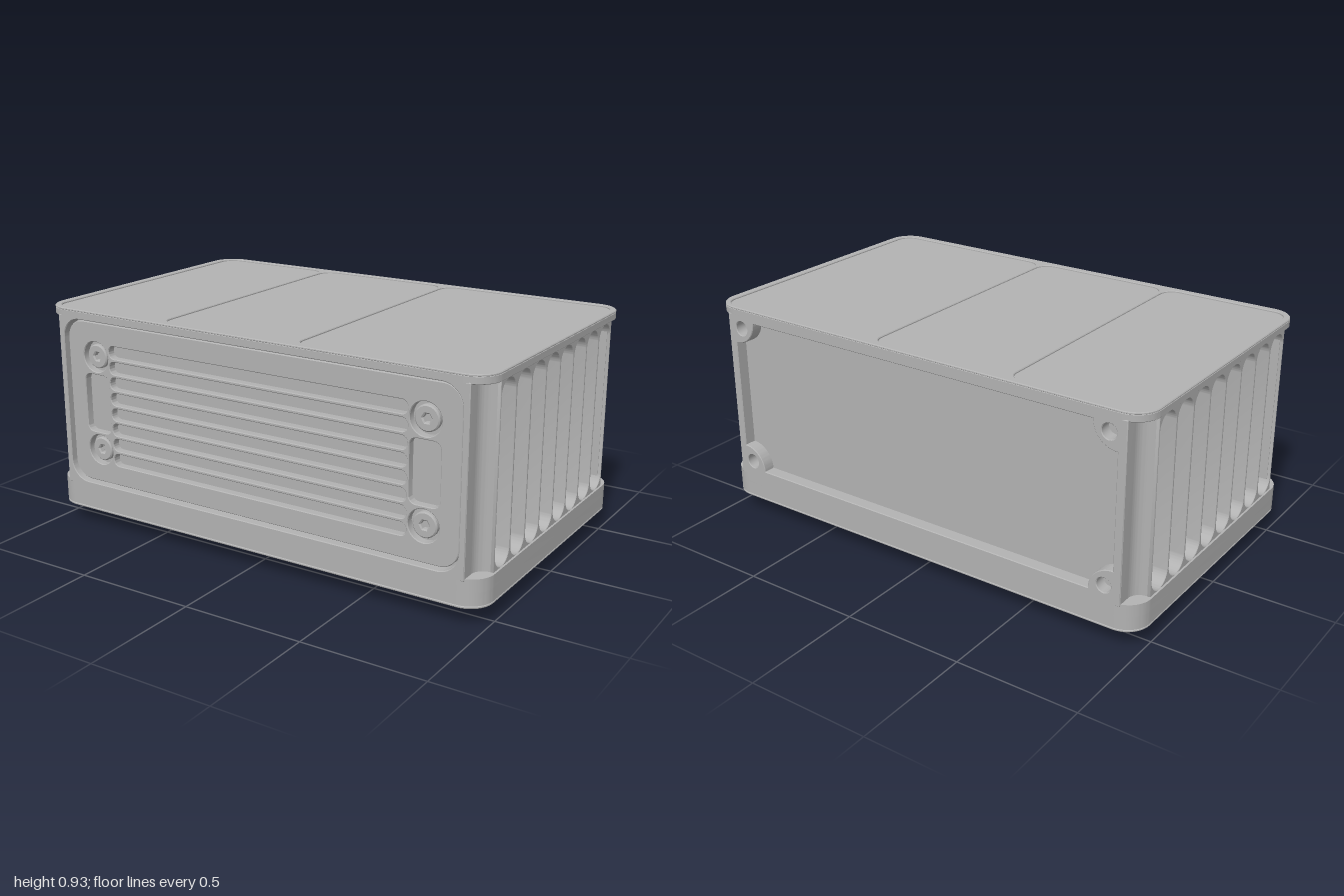
import * as THREE from 'three';
import { toCreasedNormals } from 'three/addons/utils/BufferGeometryUtils.js';

const metal = new THREE.MeshStandardMaterial({ color: 0xb2b2b2 });
metal.name = 'grey metal';

// Rounded rectangle from corner to corner
function roundRect(x0, y0, x1, y1, r) {
  const s = new THREE.Shape();
  s.absarc(x1 - r, y1 - r, r, 0, Math.PI / 2);
  s.absarc(x0 + r, y1 - r, r, Math.PI / 2, Math.PI);
  s.absarc(x0 + r, y0 + r, r, Math.PI, Math.PI * 1.5);
  s.absarc(x1 - r, y0 + r, r, Math.PI * 1.5, Math.PI * 2);
  s.closePath();
  return s;
}

function circle(x, y, r) {
  return new THREE.Shape().absarc(x, y, r, 0, Math.PI * 2);
}

function hexagon(x, y, r) {
  const p = [];
  for (let i = 0; i < 6; i++) {
    p.push(new THREE.Vector2(x + r * Math.cos(i * Math.PI / 3), y + r * Math.sin(i * Math.PI / 3)));
  }
  return new THREE.Shape(p);
}

// Plate with chamfered edges, filling exactly 0..depth
function slab(shape, holes, depth, bevel = 0) {
  shape.holes = holes;
  const g = new THREE.ExtrudeGeometry(shape, {
    depth: depth - 2 * bevel, bevelEnabled: bevel > 0, bevelThickness: bevel,
    bevelSize: bevel, bevelOffset: -bevel, bevelSegments: 1, curveSegments: 10,
  });
  g.translate(0, 0, bevel);
  return toCreasedNormals(g, 0.5);
}

// Horizontal plate: shape is drawn in x and z
function layer(shape, holes, y0, y1, bevel = 0) {
  return slab(shape, holes, y1 - y0, bevel).rotateX(Math.PI / 2).translate(0, y1, 0);
}

export function createModel() {
  const model = new THREE.Group();
  const add = (name, geometry) => {
    const mesh = new THREE.Mesh(geometry, metal);
    mesh.name = name;
    model.add(mesh);
    return mesh;
  };
  const footprint = () => roundRect(-1, -0.615, 1, 0.615, 0.1);
  const corners = [[1, 1], [1, -1], [-1, 1], [-1, -1]];

  // Solid middle of the housing
  add('core', new THREE.BoxGeometry(1.86, 0.76, 1.13).translate(0, 0.54, 0));

  // Base: feet recesses, edge grooves and a shallow pocket on the underside
  const baseCuts = () => [
    ...corners.map(([sx, sz]) => circle(sx * 0.9, sz * 0.52, 0.065)),
    ...[-1, 1].map((s) => roundRect(-0.78, s * 0.545 - 0.018, 0.78, s * 0.545 + 0.018, 0.017)),
  ];
  const pocket = new THREE.Shape([
    [-0.93, 0.43], [-0.75, 0.43], [-0.71, 0.36], [0.86, 0.36], [0.86, -0.42], [-0.93, -0.42],
  ].map(([x, z]) => new THREE.Vector2(x, z)));
  add('baseUnderside', layer(footprint(), [...baseCuts(), pocket], 0.075, 0.087, 0.004));

  // Vent slots, screw holes and a small port inside the pocket
  const vents = [];
  for (let i = 0; i < 13; i++) {
    const x = 0.76 - i * 0.09;
    vents.push(roundRect(x - 0.023, -0.29, x + 0.023, 0.31, 0.022));
  }
  vents.push(roundRect(-0.7, -0.25, -0.63, -0.11, 0.03), circle(-0.54, 0.09, 0.025));
  for (const x of [0.62, 0.2, -0.2]) {
    vents.push(circle(x, -0.345, 0.018), circle(x, 0.337, 0.016));
  }
  add('ventedFloor', layer(footprint(), [...baseCuts(), ...vents], 0.087, 0.14));
  add('baseFlange', layer(footprint(), [], 0.14, 0.19));

  // Lid with three shallow rounded fields on top
  add('lid', layer(footprint(), [], 0.893, 0.923, 0.003));
  const fields = [[-0.97, -0.43], [-0.415, 0.19], [0.205, 0.97]];
  add('lidRim', layer(footprint(), fields.map(([a, b]) => roundRect(a, -0.59, b, 0.585, 0.06)),
    0.92, 0.93, 0.003));

  // Fluted side walls
  for (const side of [-1, 1]) {
    const flutes = [];
    for (let i = 0; i < 8; i++) {
      const z = (i - 3.5) * 0.127;
      flutes.push(roundRect(z - 0.058, 0.192, z + 0.058, 0.888, 0.0575));
    }
    const wall = roundRect(-0.51, 0.16, 0.51, 0.915, 0.005);
    add(side > 0 ? 'leftFlutedWall' : 'rightFlutedWall',
      slab(wall, flutes, 0.07, 0.002).rotateY(side * Math.PI / 2).translate(side * 0.922, 0, 0));
  }

  // Concave fillets in the four corner notches
  const fillet = new THREE.Shape();
  fillet.moveTo(0.92, 0.5);
  fillet.lineTo(0.98, 0.5);
  fillet.lineTo(0.98, 0.51);
  fillet.absarc(0.98, 0.56, 0.05, -Math.PI / 2, -Math.PI, true);
  fillet.lineTo(0.92, 0.56);
  const filletPoints = fillet.getPoints(8);
  for (const [sx, sz] of corners) {
    const s = new THREE.Shape(filletPoints.map((p) => new THREE.Vector2(p.x * sx, p.y * sz)));
    add('cornerFillet', layer(s, [], 0.185, 0.9));
  }

  // Front frame and its inset panel
  add('frontFrame', slab(roundRect(-0.93, 0.18, 0.93, 0.9, 0.004),
    [roundRect(-0.905, 0.197, 0.905, 0.89, 0.085)], 0.055, 0.003).translate(0, 0, 0.56));
  const panelCuts = [];
  for (let i = 0; i < 8; i++) {
    const y = 0.315 + i * 0.065;
    panelCuts.push(roundRect(-0.685, y - 0.026, 0.685, y + 0.026, 0.025));
  }
  const screwSpots = [];
  for (const s of [-1, 1]) {
    panelCuts.push(roundRect(s * 0.755 - 0.063, 0.42, s * 0.755 + 0.063, 0.665, 0.03));
    for (const y of [0.345, 0.74]) {
      screwSpots.push([s * 0.755, y]);
      panelCuts.push(circle(s * 0.755, y, 0.064));
    }
  }
  add('frontPanel', slab(roundRect(-0.897, 0.205, 0.897, 0.882, 0.078), panelCuts, 0.035, 0.003)
    .translate(0, 0, 0.562));
  for (const [x, y] of screwSpots) {
    add('panelScrew', slab(circle(x, y, 0.05), [hexagon(x, y, 0.018)], 0.027, 0.005)
      .translate(0, 0, 0.562));
  }

  // Back frame: opening with rounded lugs and a screw hole in each corner
  const opening = new THREE.Path();
  const [ox, y0, y1, lug] = [0.895, 0.215, 0.875, 0.1];
  const q = Math.PI / 2;
  opening.absarc(ox, y1, lug, -q, -2 * q, true);
  opening.absarc(-ox, y1, lug, 0, -q, true);
  opening.absarc(-ox, y0, lug, q, 0, true);
  opening.absarc(ox, y0, lug, 2 * q, q, true);
  opening.closePath();
  const backHoles = [opening];
  for (const s of [-1, 1]) {
    backHoles.push(circle(s * 0.86, y0 + 0.032, 0.03), circle(s * 0.86, y1 - 0.032, 0.03));
  }
  add('backFrame', slab(roundRect(-0.93, 0.18, 0.93, 0.9, 0.004), backHoles, 0.055, 0.003)
    .translate(0, 0, -0.615));

  // Foot screws sunk into the base corners
  for (const [sx, sz] of corners) {
    const [x, z] = [sx * 0.9, sz * 0.52];
    add('footScrew', layer(circle(x, z, 0.048), [hexagon(x, z, 0.022)], 0.082, 0.14, 0.005));
  }

  // Threaded cable connector under the base
  const connector = new THREE.Group();
  connector.name = 'connector';
  connector.position.set(-0.737, 0, 0.095);
  model.add(connector);
  const connectorPart = (name, g) => {
    const m = new THREE.Mesh(g, metal);
    m.name = name;
    connector.add(m);
  };
  connectorPart('connectorCollar', toCreasedNormals(
    new THREE.CylinderGeometry(0.12, 0.098, 0.04, 24).translate(0, 0.07, 0), 0.5));
  const profile = [new THREE.Vector2(0, 0.03), new THREE.Vector2(0.062, 0.03),
    new THREE.Vector2(0.065, 0.001), new THREE.Vector2(0.08, 0)];
  for (let i = 0; i < 5; i++) {
    profile.push(new THREE.Vector2(0.09, 0.005 + i * 0.01), new THREE.Vector2(0.082, 0.01 + i * 0.01));
  }
  connectorPart('connectorThread', toCreasedNormals(new THREE.LatheGeometry(profile, 32), 0.5));
  connectorPart('connectorInsert', new THREE.CylinderGeometry(0.03, 0.03, 0.02, 16).translate(0, 0.025, 0));

  return model;
}
